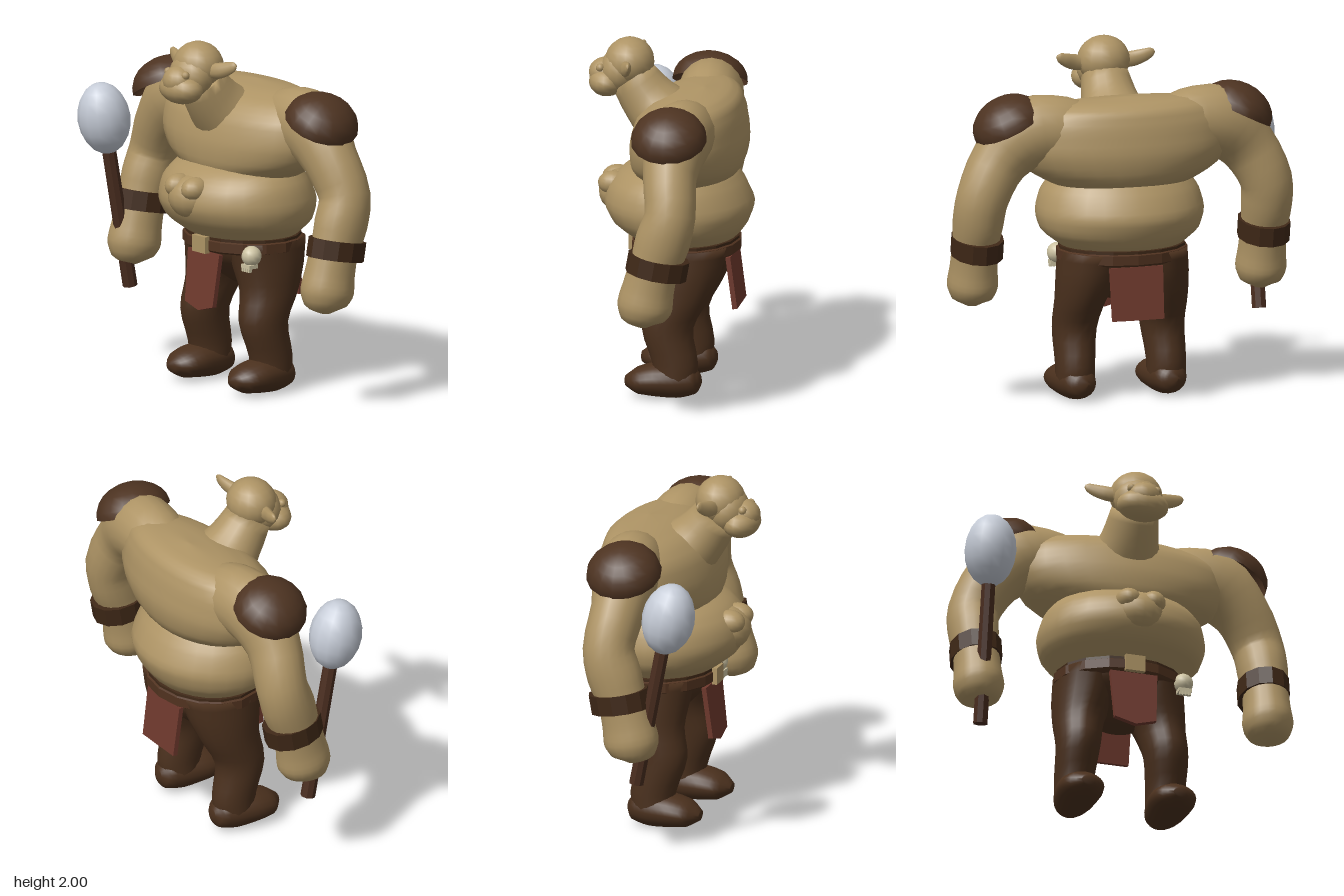
import * as THREE from 'three';

const mat = (name, color, extra = {}) => Object.assign(new THREE.MeshStandardMaterial({ color, ...extra }), { name });

export function createModel() {
  const model = new THREE.Group();
  model.name = 'ogre';
  const skin = mat('skin', 0xae9465);
  const leather = mat('leather', 0x4d3321, { side: THREE.DoubleSide });
  const trousers = mat('trousers', 0x4a301d);
  const strap = mat('dark strap', 0x3f2817, { flatShading: true });
  const beltBrown = mat('belt brown', 0x50321f, { flatShading: true });
  const cloth = mat('red cloth', 0x6f392d, { flatShading: true });
  const wood = mat('wood', 0x4a2d1f, { flatShading: true });
  const stone = mat('stone', 0xc6ccd7);
  const bone = mat('bone', 0xcdc3a2);
  const brass = mat('buckle', 0xae9465);

  const add = (name, geo, material, x = 0, y = 0, z = 0, parent = model) => {
    const m = new THREE.Mesh(geo, material);
    m.name = name;
    m.position.set(x, y, z);
    parent.add(m);
    return m;
  };
  const ball = (name, material, x, y, z, rx, ry, rz, w = 16, h = 12) =>
    add(name, new THREE.SphereGeometry(1, w, h).scale(rx, ry, rz), material, x, y, z);

  // Smooth closed skin through elliptical rings [x, y, z, ru, rv]; level rings stay horizontal
  function loft(rows, { level = false, sides = 20, sub = 3 } = {}) {
    const path = new THREE.CatmullRomCurve3(rows.map(r => new THREE.Vector3(r[0], r[1], r[2])));
    const size = new THREE.CatmullRomCurve3(rows.map(r => new THREE.Vector3(r[3], r[4], 0)));
    const n = (rows.length - 1) * sub, pos = [], idx = [];
    for (let i = 0; i <= n; i++) {
      const c = path.getPoint(i / n), r = size.getPoint(i / n);
      const t = level ? new THREE.Vector3(0, 1, 0) : path.getTangent(i / n);
      const v = Math.abs(t.z) > 0.8 ? new THREE.Vector3(0, 1, 0) : new THREE.Vector3(0, 0, 1);
      v.addScaledVector(t, -v.dot(t)).normalize();
      const u = new THREE.Vector3().crossVectors(t, v);
      for (let j = 0; j < sides; j++) {
        const a = j / sides * Math.PI * 2;
        const p = c.clone().addScaledVector(u, Math.cos(a) * Math.max(r.x, 0.005))
          .addScaledVector(v, Math.sin(a) * Math.max(r.y, 0.005));
        pos.push(p.x, p.y, p.z);
        if (i < n) {
          const k = (j + 1) % sides, A = i * sides + j, B = i * sides + k;
          idx.push(A, A + sides, B, B, A + sides, B + sides);
        }
      }
    }
    const last = n * sides;
    for (let j = 1; j < sides - 1; j++) {
      idx.push(0, j, j + 1, last, last + j + 1, last + j);
    }
    const g = new THREE.BufferGeometry();
    g.setAttribute('position', new THREE.Float32BufferAttribute(pos, 3));
    g.setIndex(idx);
    g.computeVertexNormals();
    return g;
  }

  // Torso
  add('belly', loft([
    [0, 0.85, -0.09, 0.3, 0.24], [0, 0.9, -0.08, 0.37, 0.31], [0, 0.97, -0.06, 0.455, 0.38],
    [0, 1.07, -0.05, 0.48, 0.42], [0, 1.18, -0.04, 0.455, 0.385], [0, 1.26, -0.05, 0.4, 0.32],
    [0, 1.32, -0.07, 0.3, 0.22]], { level: true, sides: 28 }), skin);
  add('chest', loft([
    [0, 1.2, -0.08, 0.3, 0.2], [0, 1.25, -0.09, 0.42, 0.285], [0, 1.33, -0.1, 0.555, 0.32],
    [0, 1.45, -0.11, 0.62, 0.325], [0, 1.58, -0.12, 0.61, 0.295], [0, 1.67, -0.15, 0.52, 0.235],
    [0, 1.715, -0.18, 0.38, 0.14], [0, 1.735, -0.19, 0.02, 0.01]], { level: true, sides: 28 }), skin);
  for (const s of [-1, 1]) ball('navelFold', skin, s * 0.072, 1.175, 0.315, 0.073, 0.068, 0.088);
  ball('navelBulge', skin, 0, 1.115, 0.27, 0.15, 0.125, 0.14);

  // Neck and head
  add('neck', loft([[0, 1.4, -0.12, 0.34, 0.16], [0, 1.53, 0.01, 0.235, 0.185],
    [0, 1.65, 0.125, 0.165, 0.158], [0, 1.78, 0.22, 0.135, 0.13]]), skin);
  ball('skull', skin, 0, 1.865, 0.235, 0.15, 0.137, 0.14);
  ball('face', skin, 0, 1.815, 0.285, 0.142, 0.13, 0.115);
  ball('snout', skin, 0, 1.795, 0.375, 0.095, 0.085, 0.092);
  ball('muzzle', skin, 0, 1.75, 0.36, 0.15, 0.088, 0.105);
  for (const s of [-1, 1]) {
    ball('eye', skin, s * 0.075, 1.838, 0.39, 0.024, 0.024, 0.024, 10, 8);
    add('ear', loft([[s * 0.1, 1.85, 0.24, 0.04, 0.035], [s * 0.17, 1.86, 0.23, 0.045, 0.03],
      [s * 0.23, 1.88, 0.21, 0.038, 0.024], [s * 0.27, 1.898, 0.2, 0.027, 0.015],
      [s * 0.287, 1.905, 0.198, 0.01, 0.006]], { sides: 10 }), skin);
  }

  for (const s of [-1, 1]) {
    // Arm with mitten hand, rooted deep in the chest
    add('arm', loft([
      [s * 0.08, 1.48, -0.17, 0.13, 0.12], [s * 0.36, 1.555, -0.15, 0.192, 0.18],
      [s * 0.57, 1.545, -0.13, 0.205, 0.185],
      [s * 0.73, 1.4, -0.12, 0.165, 0.152], [s * 0.835, 1.2, -0.14, 0.148, 0.145],
      [s * 0.85, 1.05, -0.1, 0.142, 0.155], [s * 0.85, 0.9, -0.05, 0.13, 0.14],
      [s * 0.85, 0.78, -0.02, 0.133, 0.147], [s * 0.85, 0.68, 0, 0.143, 0.157],
      [s * 0.85, 0.6, 0.01, 0.115, 0.125], [s * 0.85, 0.555, 0.01, 0.03, 0.03]]), skin);

    // Wrist cuff
    const cuff = add('wristCuff', new THREE.CylinderGeometry(0.146, 0.146, 0.11, 12), strap, s * 0.845, 0.91, -0.07);
    cuff.scale.z = 1.2;
    cuff.rotation.x = -0.18;

    // Shoulder guard: shallow dome tilted outward
    const dome = new THREE.SphereGeometry(1, 16, 6, 0, Math.PI * 2, 0, Math.PI / 2).scale(0.21, 0.165, 0.215);
    add('shoulderGuard', dome, leather, s * 0.67, 1.595, -0.105).rotation.z = -s * 0.46;

    // Leg and foot
    add('leg', loft([
      [s * 0.268, 0.08, -0.07, 0.11, 0.12], [s * 0.268, 0.2, -0.07, 0.111, 0.13],
      [s * 0.258, 0.4, -0.025, 0.124, 0.147], [s * 0.24, 0.57, -0.08, 0.142, 0.178],
      [s * 0.205, 0.72, -0.1, 0.174, 0.22], [s * 0.19, 0.86, -0.1, 0.178, 0.25]], { level: true }), trousers);
    add('foot', loft([
      [s * 0.265, 0.11, -0.215, 0.03, 0.03], [s * 0.265, 0.105, -0.18, 0.085, 0.08],
      [s * 0.268, 0.1, -0.08, 0.115, 0.1], [s * 0.27, 0.1, 0.04, 0.13, 0.095],
      [s * 0.27, 0.09, 0.14, 0.115, 0.075], [s * 0.27, 0.085, 0.21, 0.04, 0.03]]), trousers);
  }
  add('hips', loft([[0, 0.58, -0.12, 0.1, 0.07], [0, 0.66, -0.11, 0.24, 0.17],
    [0, 0.76, -0.1, 0.345, 0.25], [0, 0.87, -0.09, 0.35, 0.28]], { level: true }), trousers);

  // Belt: bevelled band with a darker upper rim
  const belt = (name, r, y, h, material) => add(name,
    new THREE.LatheGeometry([[0.84, -h], [0.95, -h], [1, -h * 0.7], [1, h * 0.7], [0.93, h], [0.8, h]]
      .map(([k, v]) => new THREE.Vector2(k * r, v)), 16).scale(1, 1, 0.82), material, 0, y, -0.09);
  belt('belt', 0.377, 0.835, 0.038, beltBrown);
  belt('beltTopRim', 0.364, 0.873, 0.014, strap);
  add('buckle', new THREE.BoxGeometry(0.115, 0.095, 0.03), brass, 0, 0.838, 0.218);

  // Hanging cloths, pointed in front, wider and straight behind
  const flap = (name, top, bottom, tip, z, tilt) => {
    const shape = new THREE.Shape([[-top, 0], [-bottom, -0.3], [0, tip], [bottom, -0.3], [top, 0]]
      .map(p => new THREE.Vector2(...p)));
    const g = new THREE.ExtrudeGeometry(shape, { depth: 0.028, bevelEnabled: false }).translate(0, 0, -0.014);
    add(name, g, cloth, 0, 0.79, z).rotation.x = tilt;
  };
  flap('frontCloth', 0.138, 0.122, -0.335, 0.183, -0.12);
  flap('backCloth', 0.155, 0.15, -0.301, -0.35, 0.13);

  // Skull charm on the belt
  ball('charmSkull', bone, 0.317, 0.805, 0.11, 0.057, 0.058, 0.057, 12, 9);
  add('charmJaw', new THREE.BoxGeometry(0.075, 0.022, 0.06), bone, 0.317, 0.75, 0.125);
  for (let i = 0; i < 4; i++)
    add('charmTooth', new THREE.BoxGeometry(0.014, 0.022, 0.02), bone, 0.291 + i * 0.0175, 0.731, 0.145);

  // Club held in the right hand
  const club = new THREE.Group();
  club.name = 'club';
  club.position.set(-0.85, 0.43, 0.03);
  club.rotation.x = 0.19;
  model.add(club);
  add('clubHandle', new THREE.CylinderGeometry(0.04, 0.042, 0.9, 8), wood, 0, 0.45, 0, club);
  add('clubHead', new THREE.SphereGeometry(1, 14, 10).scale(0.147, 0.208, 0.15), stone, 0, 1.005, 0, club);

  return model;
}
